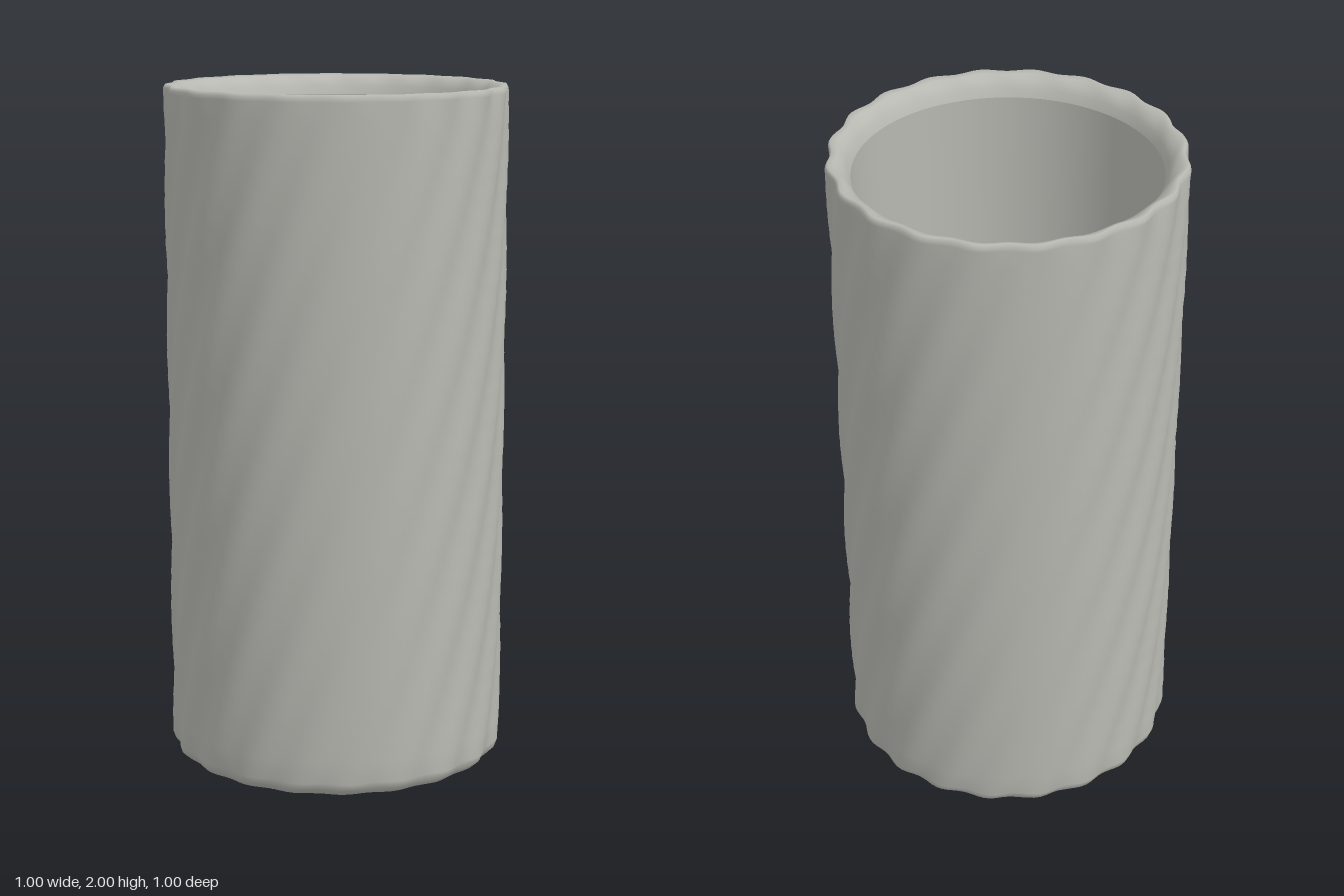
import * as THREE from 'three';
import { mergeVertices } from 'three/addons/utils/BufferGeometryUtils.js';

const RIBS = 20, TWIST = Math.PI / 2, HEIGHT = 2;
const INNER = 0.43, FLOOR = 0.07, BASE = 0.445, SEGMENTS = 160;

// Lathe a list of [radius, height] pairs
function lathe(profile) {
  return new THREE.LatheGeometry(profile.map(([r, y]) => new THREE.Vector2(r, y)), SEGMENTS);
}

// Press spiral ribs into a lathed surface; they fade out towards the base and inner lip
function addSpiralRibs(geometry) {
  const p = geometry.attributes.position;
  for (let i = 0; i < p.count; i++) {
    const x = p.getX(i), y = p.getY(i), z = p.getZ(i);
    const r = Math.hypot(x, z);
    const a = Math.atan2(x, z);
    const depth = 0.007 * THREE.MathUtils.smoothstep(r, INNER + 0.01, 0.485);
    const k = (r + depth * Math.cos(RIBS * (a - TWIST * y / HEIGHT))) / r;
    p.setXYZ(i, x * k, y, z * k);
  }
  // Weld the seam so the ribs shade smoothly all round
  geometry.deleteAttribute('uv');
  geometry.deleteAttribute('normal');
  const welded = mergeVertices(geometry, 1e-4);
  welded.computeVertexNormals();
  return welded;
}

export function createModel() {
  const group = new THREE.Group();
  const clay = new THREE.MeshStandardMaterial({ color: 0xb8b8b2 });
  clay.name = 'warm grey';

  const add = (name, geometry) => {
    const mesh = new THREE.Mesh(geometry, clay);
    mesh.name = name;
    group.add(mesh);
    return mesh;
  };

  // Outer wall: rounded foot, straight ribbed side, rim sloping inwards
  const profile = [[BASE, 0], [0.468, 0.007], [0.485, 0.024], [0.492, 0.045]];
  for (let i = 1; i <= 30; i++) profile.push([0.493, 0.045 + i * 0.0645]);
  profile.push([0.492, 1.99], [0.486, 2], [0.47, 1.995], [0.453, 1.983], [0.44, 1.965], [INNER, 1.94]);
  add('ribbedWall', addSpiralRibs(lathe(profile)));

  // Smooth inside wall, facing the axis
  add('innerWall', lathe([[INNER, 1.94], [INNER, FLOOR]]));

  // Inside floor and underside
  const floor = add('innerFloor', new THREE.CircleGeometry(INNER, SEGMENTS));
  floor.rotation.x = -Math.PI / 2;
  floor.position.y = FLOOR;
  const base = add('base', new THREE.CircleGeometry(BASE, SEGMENTS));
  base.rotation.x = Math.PI / 2;

  return group;
}
